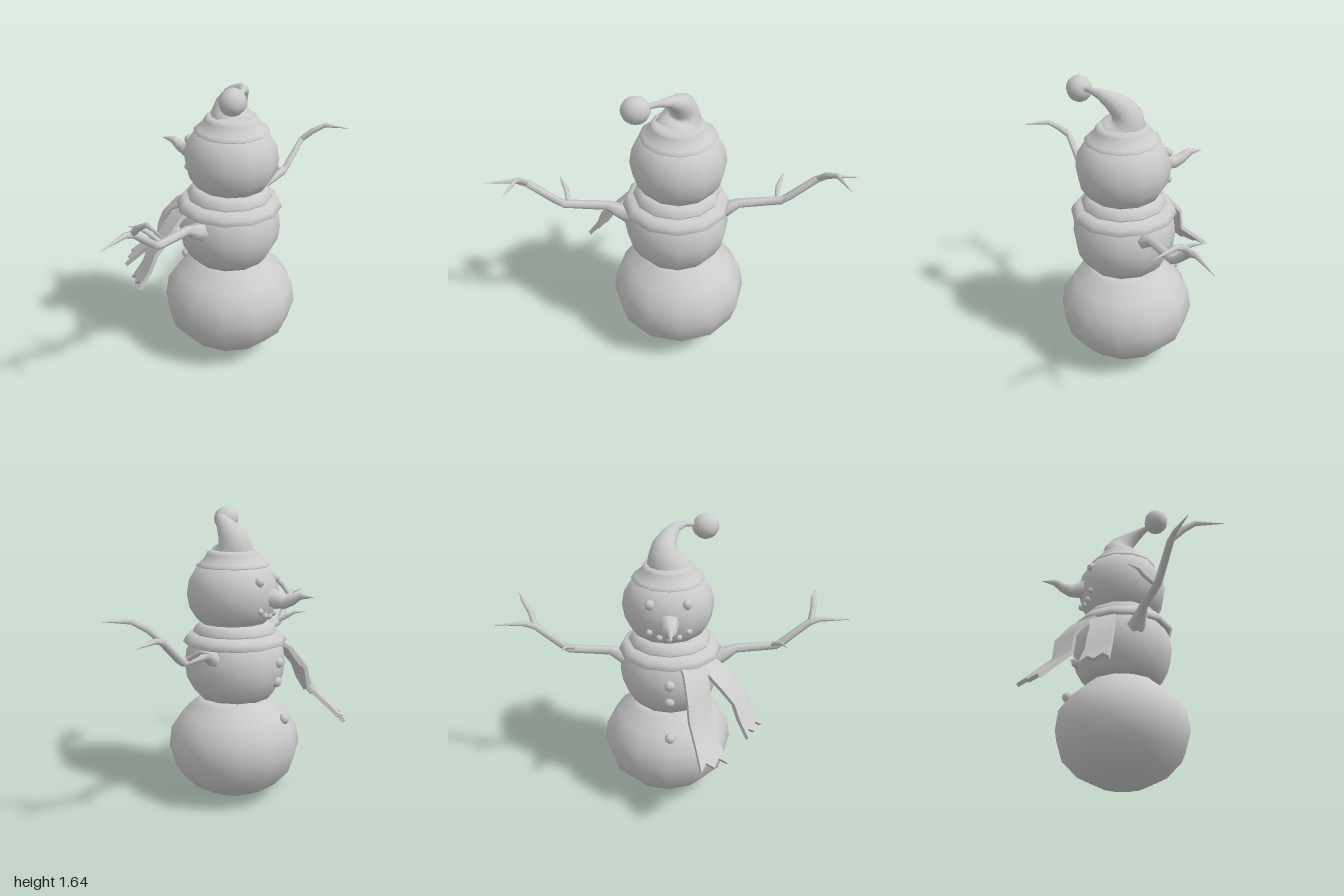
import * as THREE from 'three';

const material = new THREE.MeshStandardMaterial({ color: 0xcccccc });
const V = (a) => new THREE.Vector3(...a);

export function createModel() {
  const model = new THREE.Group();

  function add(name, geometry, position = [0, 0, 0], scale = [1, 1, 1]) {
    const mesh = new THREE.Mesh(geometry, material);
    mesh.name = name;
    mesh.position.set(...position);
    mesh.scale.set(...scale);
    model.add(mesh);
    return mesh;
  }

  // Turned part standing on a vertical axis through (x, z)
  function turned(name, profile, x, z, segments = 12) {
    const points = profile.map(([r, y]) => new THREE.Vector2(r, y));
    return add(name, new THREE.LatheGeometry(points, segments), [x, 0, z]);
  }

  // Tapering smooth limb; each station is [x, y, z, radius]
  function limb(name, stations, sides = 6, ref = [0, 1, 0]) {
    const centres = stations.map(([x, y, z]) => V([x, y, z]));
    const positions = [];
    const index = [];
    centres.forEach((c, i) => {
      const next = centres[Math.min(i + 1, centres.length - 1)];
      const t = next.clone().sub(centres[Math.max(i - 1, 0)]).normalize();
      const u = V(ref).cross(t).normalize();
      const v = t.clone().cross(u);
      for (let j = 0; j < sides; j++) {
        const a = (j / sides) * Math.PI * 2;
        const p = c.clone()
          .addScaledVector(u, Math.cos(a) * stations[i][3])
          .addScaledVector(v, Math.sin(a) * stations[i][3]);
        positions.push(p.x, p.y, p.z);
        if (i === 0) continue;
        const k = (j + 1) % sides;
        const lo = (i - 1) * sides;
        const hi = i * sides;
        index.push(lo + j, lo + k, hi + j, lo + k, hi + k, hi + j);
      }
    });
    const geometry = new THREE.BufferGeometry();
    geometry.setAttribute('position', new THREE.Float32BufferAttribute(positions, 3));
    geometry.setIndex(index);
    geometry.computeVertexNormals();
    return add(name, geometry);
  }

  // Hanging cloth strip along a path, with a ragged flared end
  function ribbon(name, path, across, thickness) {
    const rows = path.length - 1;
    const points = path.map(V);
    const geometry = new THREE.BoxGeometry(1, 1, thickness, 4, rows, 1);
    const pos = geometry.attributes.position;
    for (let i = 0; i < pos.count; i++) {
      const row = Math.round((0.5 - pos.getY(i)) * rows);
      const u = pos.getX(i);
      const t = points[Math.min(row + 1, rows)].clone()
        .sub(points[Math.max(row - 1, 0)]).normalize();
      const normal = V(across).cross(t).negate().normalize();
      const p = points[row].clone()
        .addScaledVector(V(across), u * (row === rows ? 1.12 : 1))
        .addScaledVector(normal, pos.getZ(i));
      if (row === rows) p.addScaledVector(t, Math.abs(Math.round(u * 4)) === 1 ? -0.03 : 0.01);
      pos.setXYZ(i, p.x, p.y, p.z);
    }
    geometry.computeVertexNormals();
    return add(name, geometry);
  }

  // Snowballs
  turned('lowerBody', [[0, 0.005], [0.13, 0.025], [0.25, 0.085], [0.34, 0.18], [0.375, 0.3],
    [0.36, 0.41], [0.3, 0.5], [0.215, 0.57], [0.19, 0.595], [0, 0.6]], 0.035, 0.115);
  turned('middleBody', [[0, 0.57], [0.2, 0.59], [0.235, 0.63], [0.273, 0.7], [0.285, 0.78],
    [0.275, 0.86], [0.24, 0.93], [0.18, 0.98], [0, 1.0]], 0.02, 0.115);
  turned('head', [[0, 0.98], [0.16, 1.0], [0.205, 1.04], [0.243, 1.1], [0.257, 1.18],
    [0.243, 1.26], [0.2, 1.33], [0.11, 1.38], [0, 1.4]], 0.028, 0.12);

  // Two-layer scarf wrap and its hanging tails
  turned('scarfLower', [[0.22, 0.92], [0.275, 0.9], [0.292, 0.907], [0.28, 0.935],
    [0.255, 0.962], [0.18, 0.97]], 0.018, 0.115);
  turned('scarfUpper', [[0.2, 0.95], [0.23, 0.955], [0.235, 0.975], [0.215, 1.005],
    [0.195, 1.02], [0.16, 1.025]], 0.02, 0.115);
  ribbon('scarfTailFront', [[-0.09, 0.925, -0.08], [-0.11, 0.88, -0.16], [-0.125, 0.77, -0.25],
    [-0.135, 0.655, -0.265], [-0.165, 0.56, -0.365], [-0.195, 0.475, -0.45]],
  [0.13, 0, -0.075], 0.022);
  ribbon('scarfTailSide', [[-0.13, 0.925, -0.03], [-0.21, 0.87, -0.07], [-0.29, 0.78, -0.09],
    [-0.36, 0.7, -0.12], [-0.39, 0.61, -0.14], [-0.44, 0.52, -0.175]],
  [0.08, -0.01, -0.115], 0.022);

  // Branch arms with twigs, mirrored apart from the outer fork
  for (const [side, s, forkX] of [['left', 1, 0.89], ['right', -1, 0.855]]) {
    const inner = s > 0 ? 0.02 : -0.02;
    limb(side + 'Arm', [[s * 0.2 + inner, 0.83, 0.115, 0.06], [s * 0.27 + inner, 0.86, 0.115, 0.042],
      [s * 0.36, 0.895, 0.115, 0.026], [s * 0.59, 0.91, 0.115, 0.023], [s * 0.63, 0.935, 0.115, 0.022],
      [s * 0.77, 1.05, 0.12, 0.02], [s * 0.83, 1.067, 0.12, 0.014], [s, 1.06, 0.125, 0.001]]);
    limb(side + 'InnerTwig', [[s * 0.565, 0.91, 0.12, 0.012], [s * 0.58, 0.955, 0.045, 0.014],
      [s * 0.6, 0.975, 0.01, 0.01], [s * 0.622, 0.98, -0.055, 0.001]]);
    limb(side + 'OuterTwig', [[s * 0.775, 1.05, 0.115, 0.016], [s * 0.8, 1.11, 0.175, 0.018],
      [s * (forkX - 0.045), 1.153, 0.24, 0.014], [s * forkX, 1.148, 0.375, 0.001]]);
  }

  // Hat: rolled brim, drooping cone, bobble
  turned('hatBrim', [[0.15, 1.335], [0.195, 1.328], [0.205, 1.338], [0.185, 1.352],
    [0.16, 1.375], [0.145, 1.4], [0.14, 1.412], [0.12, 1.42], [0, 1.425]], 0.027, 0.12);
  limb('hatCone', [[0.03, 1.39, 0.12, 0.125], [0.042, 1.43, 0.105, 0.107], [0.05, 1.475, 0.105, 0.085],
    [0.045, 1.515, 0.13, 0.068], [0.02, 1.555, 0.175, 0.047], [-0.02, 1.585, 0.22, 0.028],
    [-0.07, 1.594, 0.25, 0.016], [-0.14, 1.585, 0.265, 0.014]], 12, [0, 0, 1]);
  add('hatBobble', new THREE.SphereGeometry(0.07, 12, 10), [-0.184, 1.572, 0.27], [1.07, 1, 0.97]);

  // Crooked carrot nose
  limb('nose', [[0.03, 1.17, -0.1, 0.062], [0.03, 1.165, -0.135, 0.05], [0.03, 1.15, -0.19, 0.037],
    [0.03, 1.165, -0.235, 0.029], [0.03, 1.193, -0.285, 0.021], [0.03, 1.188, -0.36, 0.001]], 8);

  // Coal eyes, smile and buttons
  const coal = (name, r, p) => add(name, new THREE.SphereGeometry(r, 7, 6), p);
  coal('leftEye', 0.028, [0.133, 1.265, -0.09]);
  coal('rightEye', 0.028, [-0.067, 1.265, -0.09]);
  for (let i = -2; i <= 2; i++) {
    const dx = i * 0.053;
    const y = 1.068 + 0.01 * i * i;
    const r = 0.222 + (y - 1.068) * 0.5;
    coal('mouthCoal', 0.019, [0.03 + dx, y, 0.12 - Math.sqrt(r * r - dx * dx)]);
  }
  for (const [y, z] of [[0.81, -0.158], [0.7, -0.147], [0.49, -0.195]]) {
    coal('button', 0.031, [0.03, y, z]);
  }

  return model;
}
